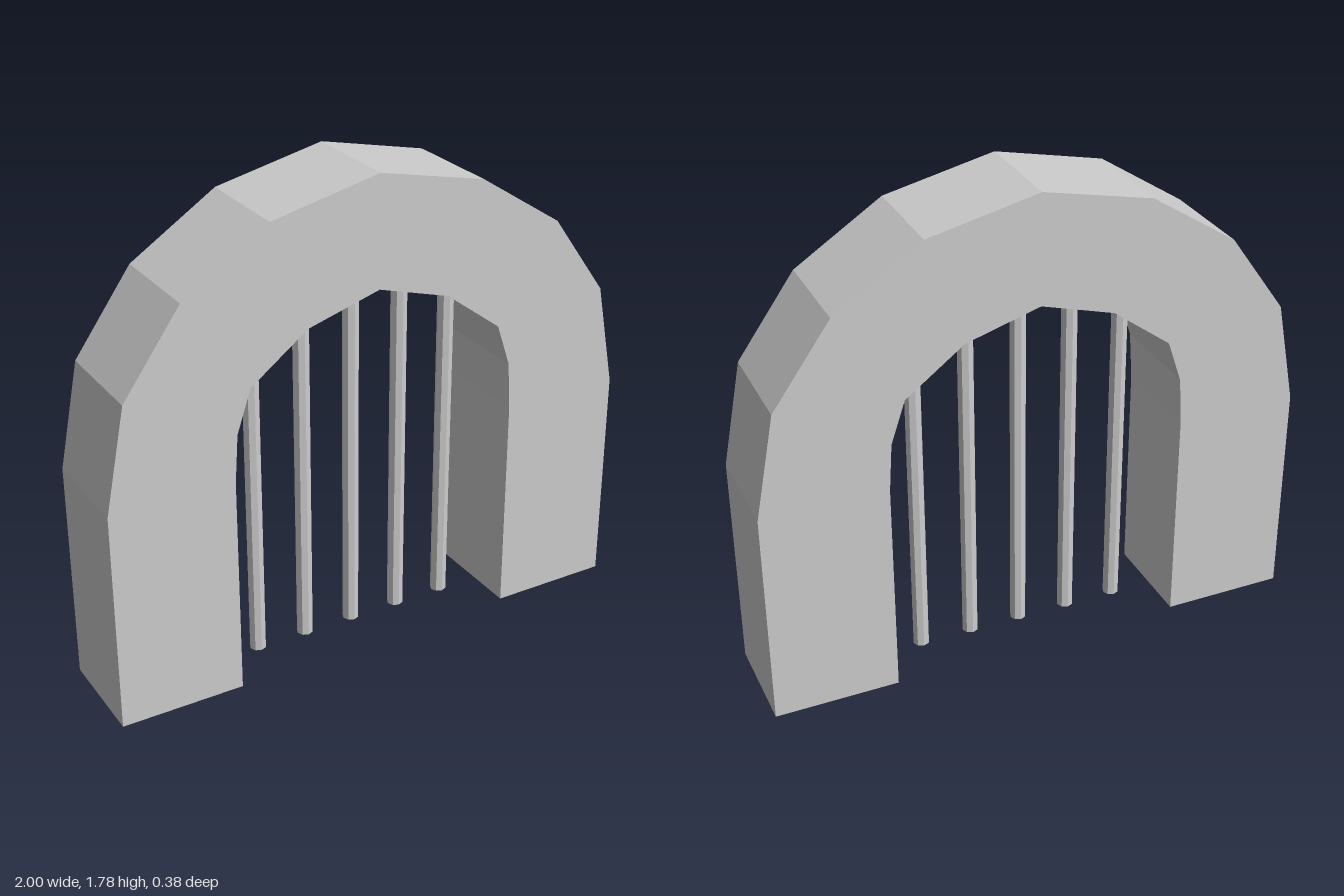
import * as THREE from 'three';

const DEPTH = 0.19; // half thickness of the wall

// Half profiles from the ground up to the crown
const OUTER = [[1, 0], [1, 0.81], [0.925, 1.19], [0.715, 1.485], [0.4, 1.69], [0, 1.78]];
const INNER = [[0.547, 0], [0.547, 0.81], [0.535, 0.985], [0.483, 1.14], [0.27, 1.3], [0, 1.38]];

// Mirror a half profile into a full path running from +x over the crown to -x
function fullPath(half) {
  return [...half, ...half.slice(0, -1).reverse().map(([x, y]) => [-x, y])];
}

// Rectangular cross-sections swept along the arch, open at the feet
function archGeometry() {
  const outer = fullPath(OUTER), inner = fullPath(INNER);
  const section = (i) => [
    [...outer[i], DEPTH], [...outer[i], -DEPTH], [...inner[i], -DEPTH], [...inner[i], DEPTH],
  ];
  const positions = [];
  for (let i = 0; i < outer.length - 1; i++) {
    const a = section(i), b = section(i + 1);
    for (let k = 0; k < 4; k++) {
      const n = (k + 1) % 4;
      positions.push(...a[k], ...a[n], ...b[n], ...a[k], ...b[n], ...b[k]);
    }
  }
  const geometry = new THREE.BufferGeometry();
  geometry.setAttribute('position', new THREE.Float32BufferAttribute(positions, 3));
  geometry.computeVertexNormals();
  return geometry;
}

export function createModel() {
  const material = new THREE.MeshStandardMaterial({
    color: 0xcccccc, flatShading: true, side: THREE.DoubleSide,
  });
  const model = new THREE.Group();
  model.name = 'barredArchway';

  const arch = new THREE.Mesh(archGeometry(), material);
  arch.name = 'arch';
  model.add(arch);

  // Vertical bars, each reaching the underside of the arch
  const bars = new THREE.Group();
  bars.name = 'bars';
  const heights = [1.385, 1.335, 1.235];
  for (let i = -2; i <= 2; i++) {
    const height = heights[Math.abs(i)];
    const bar = new THREE.Mesh(new THREE.CylinderGeometry(0.03, 0.03, height, 8, 1, true), material);
    bar.name = 'bar';
    bar.position.set(i * 0.194, height / 2, 0);
    bars.add(bar);
  }
  model.add(bars);
  return model;
}
